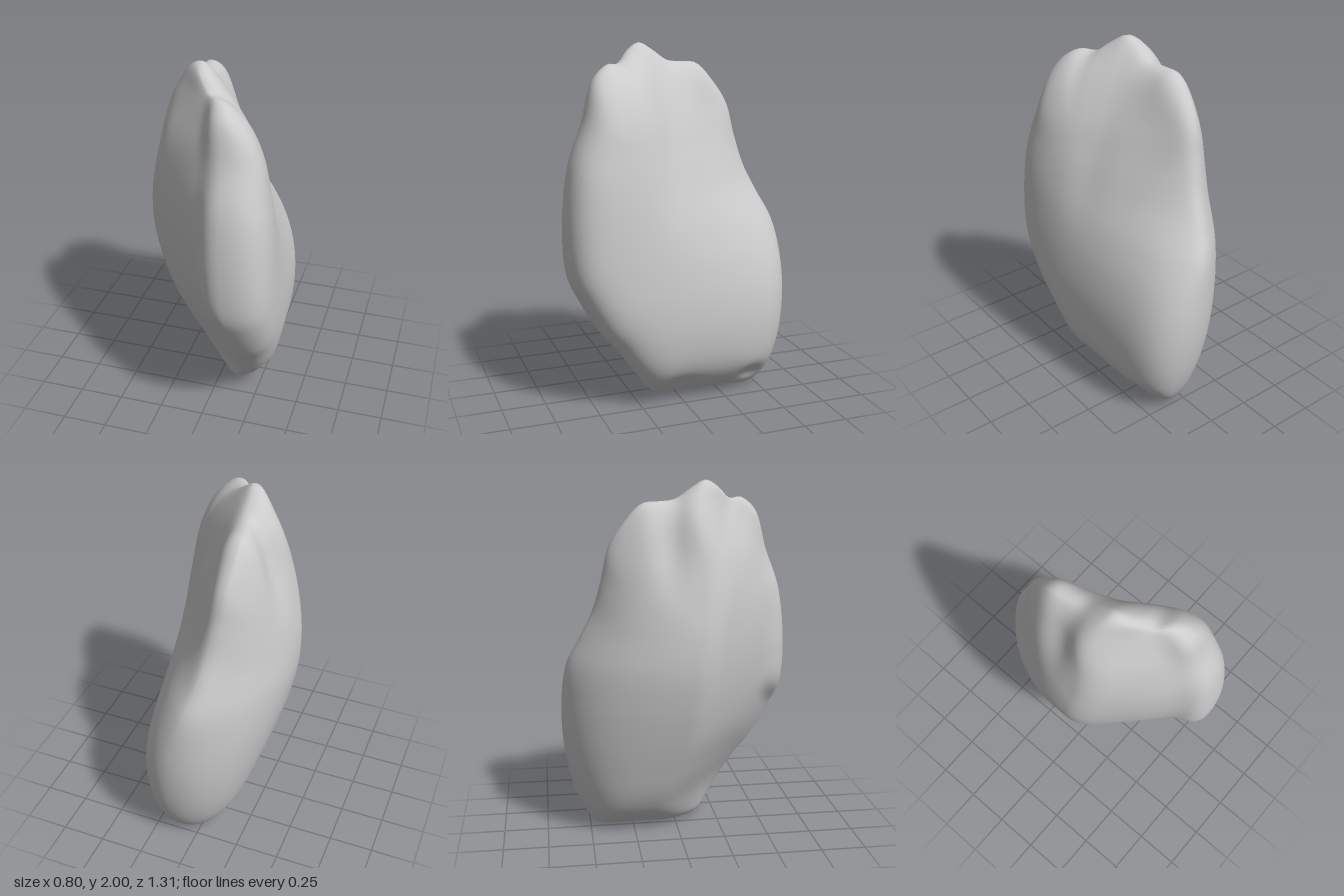
import * as THREE from 'three';
import { mergeVertices } from 'three/addons/utils/BufferGeometryUtils.js';

// Rim of the flattened stone, as x, y, z: from the peak down the front and up the back
const RIM = [
  [-.09, 2, .15], [-.07, 1.965, .22], [.0, 1.895, .3], [.07, 1.895, .38], [.11, 1.82, .47],
  [.14, 1.6, .54], [.15, 1.38, .62], [.16, 1.05, .66], [.17, .78, .645], [.19, .65, .59],
  [.2, .46, .48], [.2, .34, .38], [.19, .2, .28], [.15, .09, .2], [.1, .03, .14],
  [.05, .01, 0], [.05, .004, -.25], [.07, .004, -.45], [.11, .08, -.53], [.12, .25, -.6],
  [.1, .5, -.645], [.07, .75, -.65], [.01, .98, -.62], [-.04, 1.14, -.545], [-.07, 1.3, -.47],
  [-.1, 1.48, -.42], [-.12, 1.65, -.38], [-.14, 1.78, -.3], [-.14, 1.88, -.2],
  [-.13, 1.89, -.11], [-.11, 1.9, -.02], [-.1, 1.965, .08],
];

// Values that vary smoothly with height
const HEIGHTS = [0, .1, .2, .4, .6, .8, 1, 1.2, 1.4, 1.6, 1.8, 1.9, 2];
function byHeight(...values) {
  const spline = new THREE.CubicInterpolant(HEIGHTS, values, 1, new Float32Array(1));
  return (y) => spline.evaluate(THREE.MathUtils.clamp(y, 0, 2))[0];
}
const leftFront = byHeight(.24, .3, .345, .385, .4, .4, .395, .385, .365, .335, .26, .19, .08);
const leftBack = byHeight(.21, .25, .26, .25, .22, .16, .08, .02, -.01, -.02, -.01, -.01, -.02);
const leftBend = byHeight(.35, .35, .35, .35, .4, .5, .65, .85, 1.1, 1.5, 2, 2.3, 2.5);
const rightFace = byHeight(-.11, -.165, -.2, -.26, -.32, -.37, -.4, -.395, -.36, -.32, -.29, -.27, -.25);
const frontBevel = byHeight(-.1, -.12, -.16, -.29, -.41, -.49, -.54, -.56, -.55, -.5, -.41, -.37, -.36);
const flangeWall = byHeight(.3, .3, .3, .3, .2, .03, -.005, -.01, -.01, -.01, -.02, -.03, -.03);
const backEdge = byHeight(-.45, -.53, -.58, -.63, -.65, -.65, -.61, -.51, -.45, -.4, -.28, -.2, -.1);

const smoothMax = (a, b, k) => {
  const h = Math.max(k - Math.abs(a - b), 0) / k;
  return Math.max(a, b) + h * h * k / 4;
};
const smoothMin = (a, b, k) => -smoothMax(-a, -b, k);
const bell = (d, width) => Math.exp(-((d / width) ** 2));
const { smoothstep, lerp } = THREE.MathUtils;

// Left face: nearly flat, falling away to the back, with a faint hollow and two dents at the foot
function leftX(y, z) {
  const t = Math.max(0, smoothMin((z - backEdge(y)) / (.34 - backEdge(y)), 1, .25));
  const x = lerp(leftBack(y), leftFront(y), (.02 + .98 * t) ** leftBend(y));
  const hollow = .015 * bell(z - .06, .1) * smoothstep(y, .9, 1.5);
  return x - hollow - .05 * bell(y - .1, .06) * (bell(z + .42, .08) + .6 * bell(z - .02, .1));
}

// Right face: a belly between two bevels, the front one ending at the wall of the flange
function rightX(y, z) {
  const back = -.6 - .75 * (z - .55 * (backEdge(y) + .65));
  const front = smoothMin(z + frontBevel(y), flangeWall(y), .05);
  const groove = .05 * bell(z + .06, .09) * smoothstep(y, 1.3, 1.75);
  return smoothMax(smoothMax(rightFace(y), front, .08), back, .2) + groove;
}

function stoneGeometry(around = 192, across = 96) {
  const rim = new THREE.CatmullRomCurve3(RIM.map((p) => new THREE.Vector3(...p)), true);
  const edge = rim.getSpacedPoints(around).slice(0, around);
  const centreY = .95;
  const positions = [], index = [];

  // Rings spread from the middle of the left face, over the rim, to the middle of the right face
  for (let j = 0; j <= across; j++) {
    const phi = Math.PI * j / across;
    const r = j === across ? 0 : Math.sin(phi);
    const dome = Math.max(0, 1 - r ** 8) ** .46;
    for (const p of edge) {
      const y = centreY + (p.y - centreY) * r;
      const z = p.z * r;
      const face = j <= across / 2 ? leftX(y, z) : rightX(y, z);
      positions.push(lerp(p.x, face, dome), y, z);
    }
  }
  for (let j = 0; j < across; j++) {
    for (let i = 0; i < around; i++) {
      const n = (i + 1) % around;
      const a = j * around + i, b = a + around;
      const d = j * around + n, c = d + around;
      if (j < across - 1) index.push(a, b, c);
      else index.push(a, b, d);
      if (j > 0 && j < across - 1) index.push(a, c, d);
    }
  }
  const geometry = new THREE.BufferGeometry();
  geometry.setAttribute('position', new THREE.Float32BufferAttribute(positions, 3));
  geometry.setIndex(index);
  const merged = mergeVertices(geometry, 1e-5);
  merged.computeVertexNormals();
  return merged;
}

export function createModel() {
  const model = new THREE.Group();
  model.name = 'stone';
  const body = new THREE.Mesh(stoneGeometry(), new THREE.MeshStandardMaterial({ color: 0xcccccc }));
  body.name = 'stoneBody';
  model.add(body);
  return model;
}
